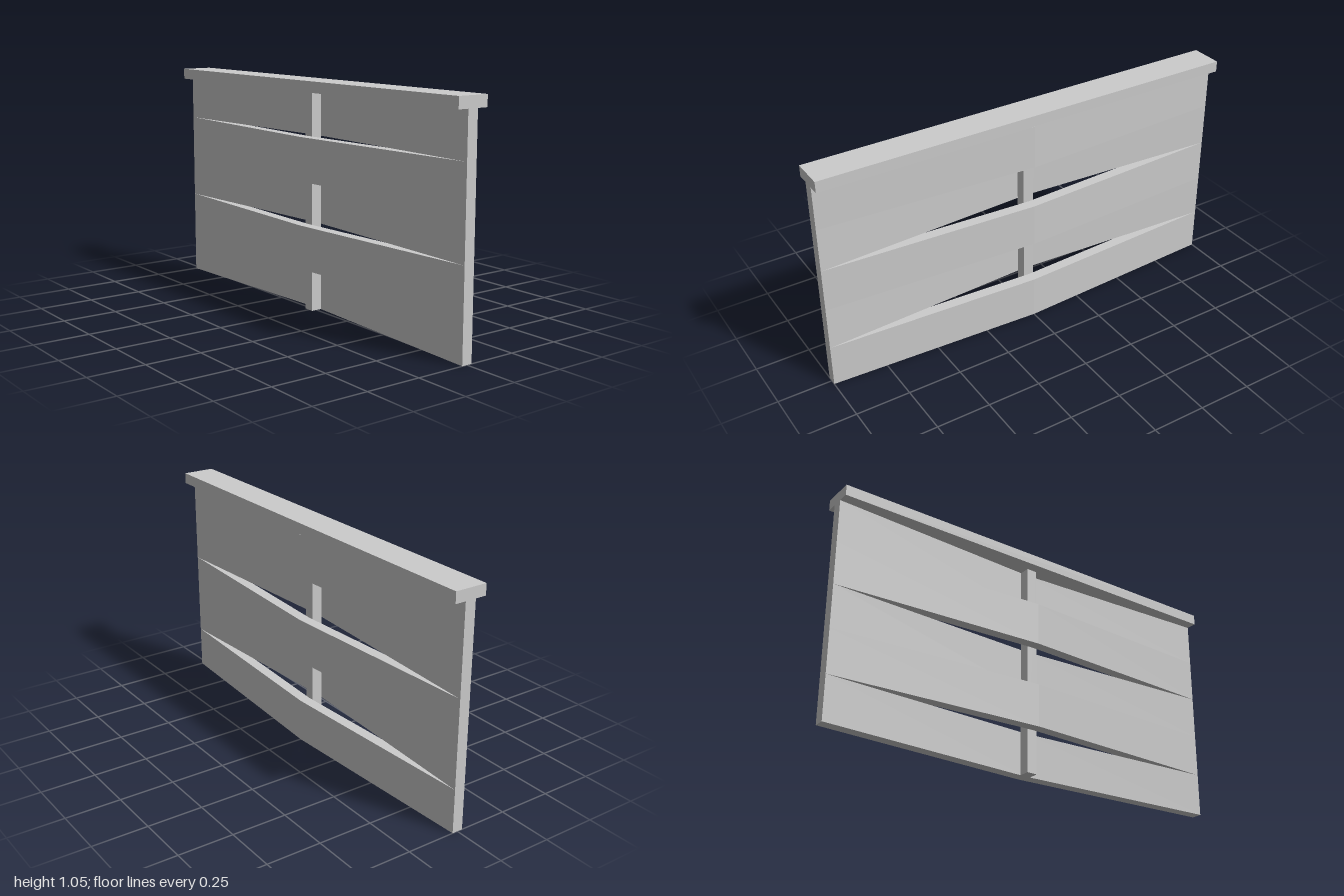
import * as THREE from 'three';

export function createModel() {
  const group = new THREE.Group();
  group.name = 'wovenFencePanel';
  const material = new THREE.MeshStandardMaterial({ color: 0xcccccc, flatShading: true });

  const add = (geometry, name, x = 0, y = 0, z = 0) => {
    const mesh = new THREE.Mesh(geometry, material);
    mesh.name = name;
    mesh.position.set(x, y, z);
    group.add(mesh);
    return mesh;
  };

  const half = 0.025; // half the plank thickness
  const bow = 0.051; // how far a plank bends around the post
  const plankHeight = 0.2;

  // Plank outline seen from above, bent at the middle
  const outline = new THREE.Shape([
    new THREE.Vector2(-1, -half),
    new THREE.Vector2(0, bow - half),
    new THREE.Vector2(1, -half),
    new THREE.Vector2(1, half),
    new THREE.Vector2(0, bow + half),
    new THREE.Vector2(-1, half),
  ]);
  const plank = new THREE.ExtrudeGeometry(outline, { depth: plankHeight, bevelEnabled: false });
  plank.rotateX(-Math.PI / 2); // outline now bows toward -z, height runs along y

  // Five planks woven alternately behind and in front of the post
  for (let i = 0; i < 5; i++) {
    const inFront = i % 2 === 1;
    const mesh = add(plank, inFront ? 'frontPlank' : 'backPlank', 0, i * plankHeight);
    if (inFront) mesh.rotation.y = Math.PI;
  }

  // Middle post and top rail
  add(new THREE.BoxGeometry(0.05, 1, 0.05), 'middlePost', 0, 0.5);
  add(new THREE.BoxGeometry(2, 0.05, 0.15), 'topRail', 0, 1.025);

  return group;
}
